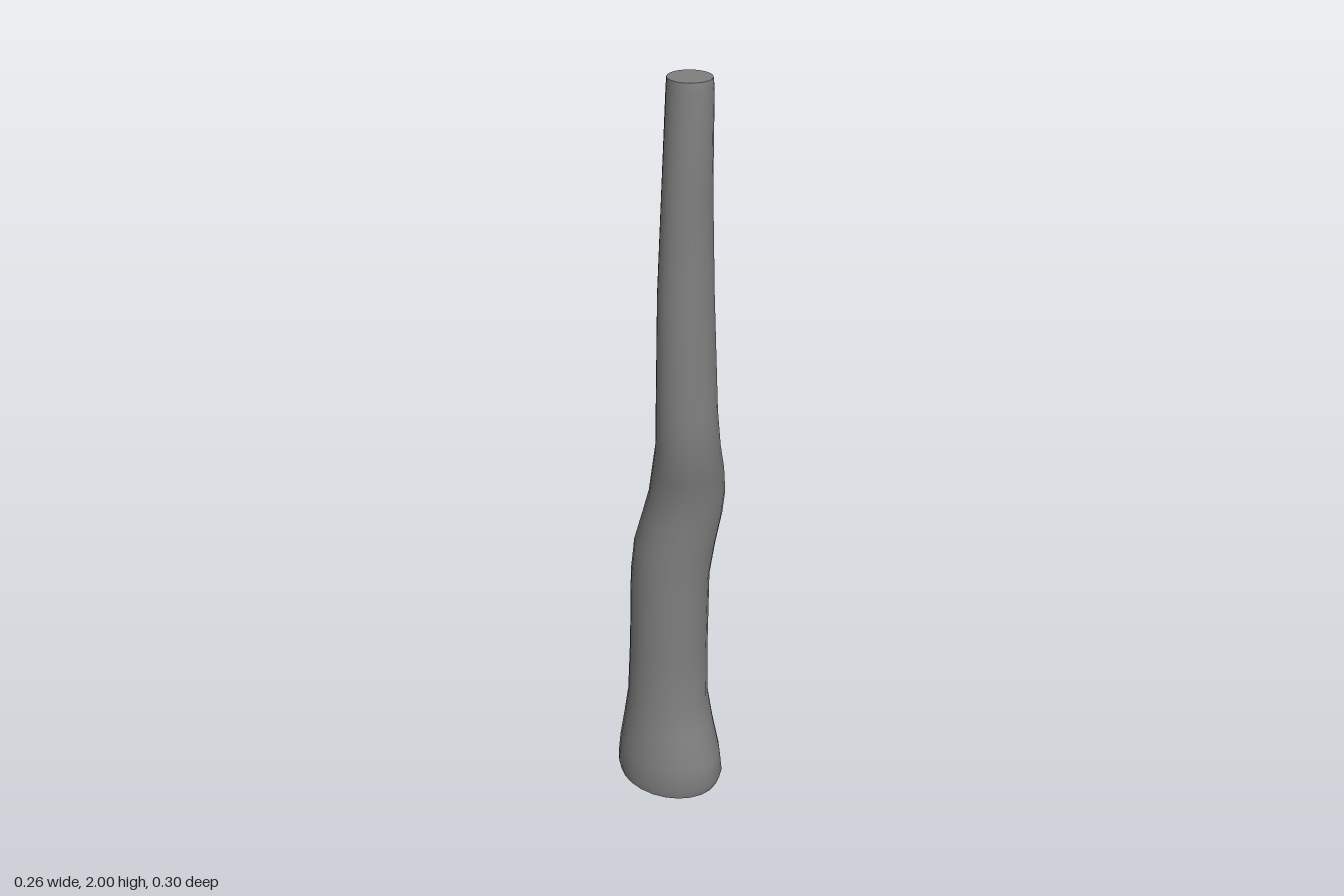
import * as THREE from 'three';
import { mergeVertices, toCreasedNormals } from 'three/addons/utils/BufferGeometryUtils.js';

// Cross-sections from base to tip: y, xMin, xMax, zMin, zMax, skew
const sections = [
  [0.00, -0.126, 0.123, -0.141, 0.131, 0.22],
  [0.03, -0.131, 0.131, -0.149, 0.140, 0.22],
  [0.10, -0.126, 0.126, -0.144, 0.133, 0.20],
  [0.19, -0.116, 0.115, -0.130, 0.108, 0.15],
  [0.28, -0.107, 0.107, -0.119, 0.088, 0.08],
  [0.45, -0.103, 0.103, -0.112, 0.091, 0.04],
  [0.68, -0.099, 0.103, -0.109, 0.096, 0.03],
  [0.78, -0.092, 0.116, -0.102, 0.103, 0.02],
  [0.87, -0.076, 0.129, -0.082, 0.111, 0.00],
  [0.94, -0.066, 0.129, -0.061, 0.119, 0.00],
  [1.02, -0.068, 0.114, -0.032, 0.132, 0.00],
  [1.10, -0.070, 0.090, -0.003, 0.150, 0.00],
  [1.20, -0.070, 0.080, 0.004, 0.147, 0.00],
  [1.50, -0.067, 0.068, 0.016, 0.136, 0.00],
  [1.75, -0.057, 0.060, 0.026, 0.130, 0.00],
  [1.98, -0.048, 0.055, 0.031, 0.137, 0.00],
  [2.00, -0.046, 0.053, 0.032, 0.134, 0.00],
];

// Shape a unit cylinder so each ring follows its cross-section
function trunkGeometry() {
  const last = sections.length - 1;
  let geo = new THREE.CylinderGeometry(1, 1, 1, 24, last);
  const pos = geo.attributes.position;
  for (let i = 0; i < pos.count; i++) {
    const ux = pos.getX(i), uz = pos.getZ(i);
    const row = Math.round((pos.getY(i) + 0.5) * last);
    const [y, x0, x1, z0, z1, skew] = sections[row];
    // Small root fold on the left side of the flared foot
    const angle = Math.atan2(uz, ux) + 0.5;
    const fold = 1 - 0.05 * Math.exp(-angle * angle * 30) * Math.max(0, 1 - y / 0.25);
    pos.setXYZ(
      i,
      (x0 + x1) / 2 + (x1 - x0) / 2 * ux * fold,
      y,
      (z0 + z1) / 2 + (z1 - z0) / 2 * (uz * Math.cos(skew) + ux * Math.sin(skew)) * fold,
    );
  }
  // Weld the seam, then smooth the bark while keeping the cut ends crisp
  geo.deleteAttribute('uv');
  geo.deleteAttribute('normal');
  geo = mergeVertices(geo, 1e-5);
  return toCreasedNormals(geo, 0.75);
}

export function createModel() {
  const model = new THREE.Group();
  const trunk = new THREE.Mesh(
    trunkGeometry(),
    new THREE.MeshStandardMaterial({ color: 0x808080 }),
  );
  trunk.name = 'trunk';
  model.add(trunk);
  return model;
}
